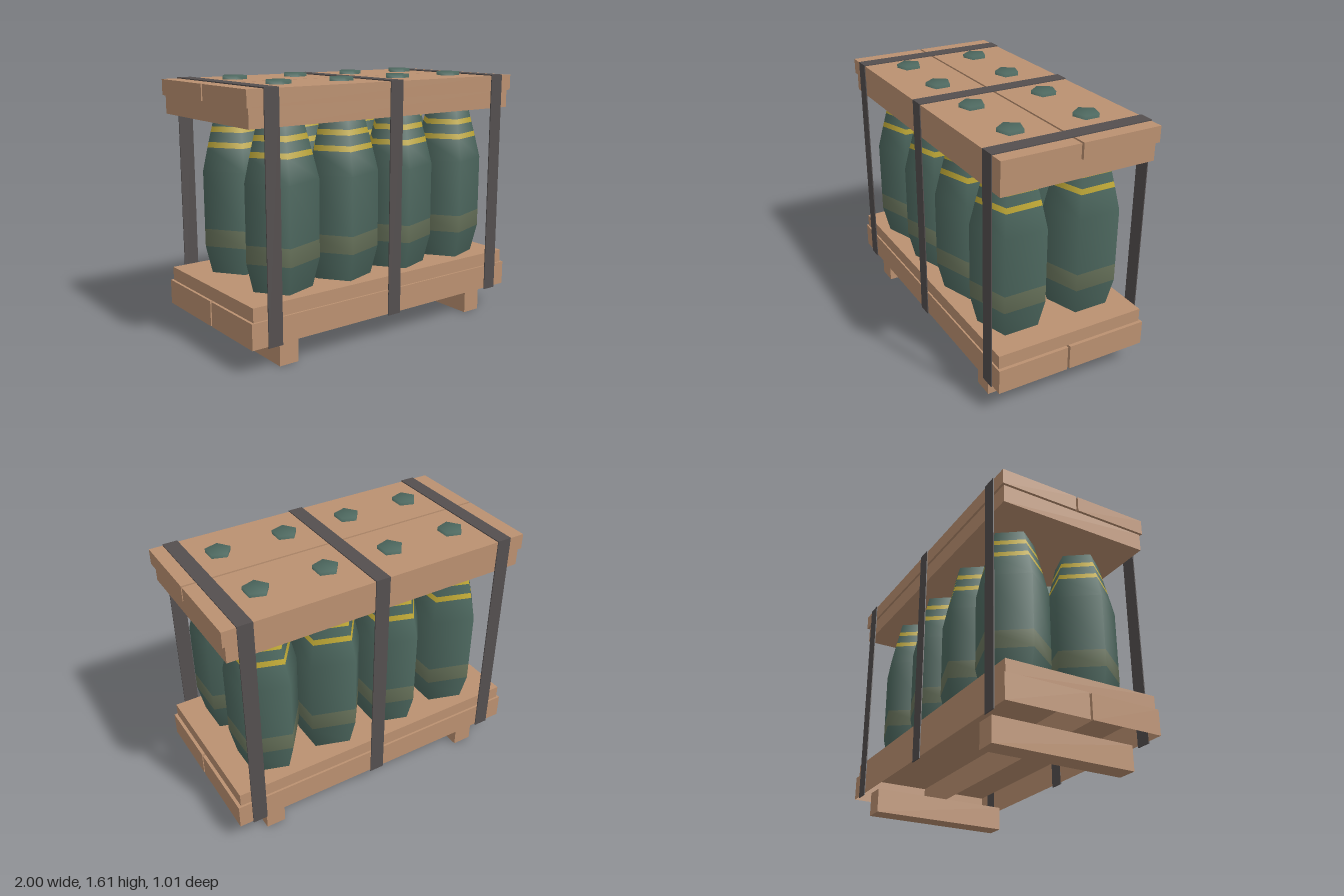
import * as THREE from 'three';

const mat = (name, color, side = THREE.FrontSide) => {
  const m = new THREE.MeshStandardMaterial({ color, side });
  m.name = name;
  return m;
};

export function createModel() {
  const root = new THREE.Group();
  root.name = 'shellPallet';
  const wood = mat('wood', 0xbb9171, THREE.DoubleSide);
  const steel = mat('strapSteel', 0x544f4f);
  const green = mat('shellGreen', 0x4d685f);
  const yellow = mat('bandYellow', 0xc0a936);
  const olive = mat('bandOlive', 0x69745c);

  // Box given by its min and max on each axis
  const box = (name, material, [x0, x1], [y0, y1], [z0, z1], parent = root) => {
    const m = new THREE.Mesh(new THREE.BoxGeometry(x1 - x0, y1 - y0, z1 - z0), material);
    m.position.set((x0 + x1) / 2, (y0 + y1) / 2, (z0 + z1) / 2);
    m.name = name;
    parent.add(m);
    return m;
  };
  // Removes the underside of a box (its fourth face)
  const openBottom = ({ geometry }) => {
    const index = Array.from(geometry.index.array);
    index.splice(18, 6);
    geometry.setIndex(index);
    geometry.clearGroups();
  };

  // Pallet base: skids, hollow lower planks and deck
  box('skidRight', wood, [-0.8, -0.672], [0, 0.155], [-0.46, 0.463]);
  box('skidLeft', wood, [0.68, 0.805], [0, 0.155], [-0.46, 0.463]);
  openBottom(box('basePlankFront', wood, [-1, 1], [0.155, 0.31], [0.04, 0.5]));
  openBottom(box('basePlankBack', wood, [-1, 1], [0.155, 0.31], [-0.5, 0.025]));
  box('baseDeck', wood, [-0.985, 0.98], [0.311, 0.395], [-0.487, 0.49]);

  // Lid
  box('lidDeck', wood, [-0.985, 0.98], [1.372, 1.484], [-0.487, 0.49]);
  box('lidPlankFront', wood, [-1, 1], [1.485, 1.582], [0.018, 0.5]);
  box('lidPlankBack', wood, [-1, 1], [1.485, 1.582], [-0.5, 0.004]);

  // Steel straps over the lid and down both sides
  for (const x of [-0.85, 0.018, 0.867]) {
    const strap = new THREE.Group();
    strap.name = 'strap';
    const w = [x - 0.047, x + 0.047];
    box('strapTop', steel, w, [1.582, 1.588], [-0.505, 0.505], strap);
    box('strapFront', steel, w, [0.145, 1.582], [0.499, 0.505], strap);
    box('strapBack', steel, w, [0.145, 1.582], [-0.505, -0.499], strap);
    root.add(strap);
  }

  // Five-sided shell: [radius, height, material index of the section above]
  const profile = [
    [0.186, 0.385, 0], [0.231, 0.57, 2], [0.231, 0.68, 0], [0.231, 1.04, 0],
    [0.196, 1.18, 1], [0.187, 1.213, 0], [0.171, 1.273, 1], [0.162, 1.306, 0],
    [0.144, 1.375, 0], [0.079, 1.57, 0], [0.079, 1.605, 0], [0, 1.605, 0],
  ];
  const sides = 5;
  const shellGeo = new THREE.LatheGeometry(
    profile.map(([r, y]) => new THREE.Vector2(r, y)), sides, -Math.PI / 2);
  const bands = profile.length - 1;
  for (let i = 0; i < sides; i++)
    for (let j = 0; j < bands; j++)
      shellGeo.addGroup((i * bands + j) * 6, 6, profile[j][2]);

  // Two rows of four shells
  for (const z of [0.25, -0.237])
    for (const x of [-0.649, -0.21, 0.231, 0.669]) {
      const shell = new THREE.Mesh(shellGeo, [green, yellow, olive]);
      shell.name = 'shell';
      shell.position.set(x, 0, z);
      root.add(shell);
    }
  return root;
}
